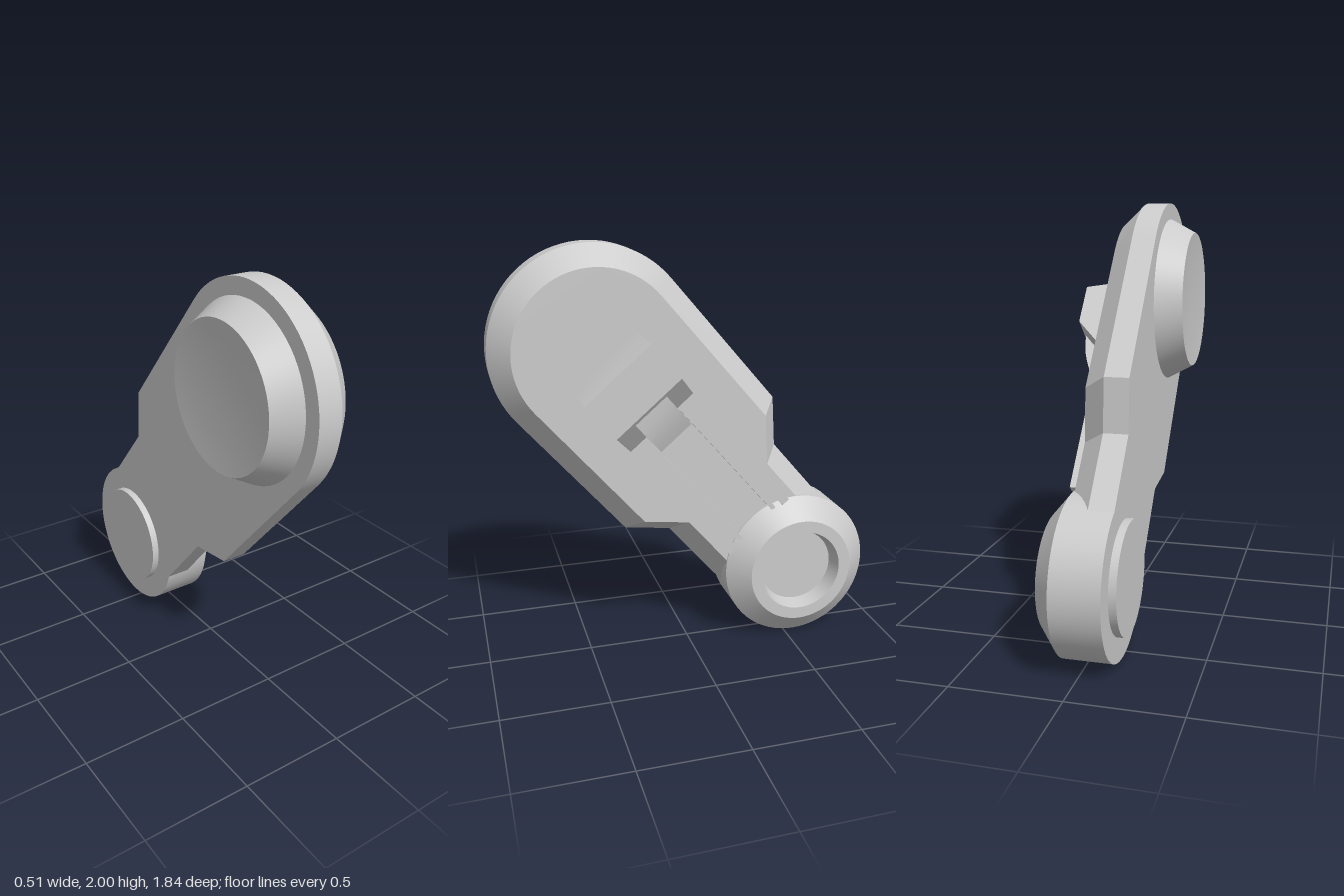
import * as THREE from 'three';
import { toCreasedNormals } from 'three/addons/utils/BufferGeometryUtils.js';

const material = new THREE.MeshStandardMaterial({ color: 0xcccccc });
// The arm is built upright: x is thickness, y runs along the arm, z across it.
const ARM = 1.51;

function addPart(parent, name, geometry) {
  const flat = geometry.index ? geometry.toNonIndexed() : geometry;
  const mesh = new THREE.Mesh(toCreasedNormals(flat, 0.4), material);
  mesh.name = name;
  parent.add(mesh);
  return mesh;
}

// Round part about the x axis, profile points are [radius, x]
function turned(profile) {
  const points = profile.map(([r, x]) => new THREE.Vector2(r, x));
  return new THREE.LatheGeometry(points, 64).rotateZ(-Math.PI / 2);
}

function extrude(points, depth) {
  const shape = new THREE.Shape(points.map(([a, b]) => new THREE.Vector2(a, b)));
  return new THREE.ExtrudeGeometry(shape, { depth, bevelEnabled: false });
}

// Side profile in (x, y), centred across z
const acrossArm = (points, width) => extrude(points, width).translate(0, 0, -width / 2);

// Face outline in (y, z), thickened along x
function alongThickness(points, x, depth) {
  const basis = new THREE.Matrix4().makeBasis(
    new THREE.Vector3(0, 1, 0), new THREE.Vector3(0, 0, 1), new THREE.Vector3(1, 0, 0));
  return extrude(points, depth).applyMatrix4(basis).translate(x, 0, 0);
}

// Outline of the plate: narrow neck, shoulders, round head
function plateOutline(inset) {
  const neck = 0.334 - inset, wide = 0.483 - inset;
  const points = [[0, -neck], [0.526, -neck], [0.722, -wide]];
  for (let i = 0; i <= 40; i++) {
    const a = -Math.PI / 2 + (Math.PI * i) / 40;
    points.push([ARM + wide * Math.cos(a), wide * Math.sin(a)]);
  }
  points.push([0.752, wide], [0.586, neck], [0, neck]);
  return points;
}

// Plate lofted through three outlines, the last one inset for the bevel
function plateGeometry() {
  const rings = [[-0.135, 0], [-0.02, 0], [0.085, 0.097]].map(([x, inset]) =>
    plateOutline(inset).map(([y, z]) => [x, y, z]));
  const n = rings[0].length;
  const position = [];
  const tri = (a, b, c) => position.push(...a, ...b, ...c);
  for (let k = 0; k < 2; k++) {
    for (let i = 0; i < n; i++) {
      const j = (i + 1) % n;
      tri(rings[k][i], rings[k][j], rings[k + 1][j]);
      tri(rings[k][i], rings[k + 1][j], rings[k + 1][i]);
    }
  }
  const contour = rings[0].map(([, y, z]) => new THREE.Vector2(y, z));
  for (const [a, b, c] of THREE.ShapeUtils.triangulateShape(contour, [])) {
    tri(rings[0][a], rings[0][c], rings[0][b]);
    tri(rings[2][a], rings[2][b], rings[2][c]);
  }
  const geometry = new THREE.BufferGeometry();
  geometry.setAttribute('position', new THREE.Float32BufferAttribute(position, 3));
  return geometry;
}

export function createModel() {
  const model = new THREE.Group();
  model.name = 'linkArm';
  const arm = new THREE.Group();
  arm.name = 'arm';
  arm.position.set(0, 0.372, -0.55);
  arm.rotation.x = 0.7105;
  model.add(arm);

  addPart(arm, 'armPlate', plateGeometry());

  // Lower joint with a tapered recess on one side and a low boss on the other
  addPart(arm, 'lowerJoint', turned([
    [0, -0.17], [0.257, -0.17], [0.257, -0.135], [0.37, -0.135], [0.37, 0.09],
    [0.265, 0.178], [0.206, 0.178], [0.186, 0.1], [0, 0.1],
  ]));

  // Upper boss with a slightly dished face
  const boss = addPart(arm, 'upperBoss', turned([
    [0, -0.245], [0.1, -0.247], [0.2, -0.25], [0.28, -0.255], [0.337, -0.26],
    [0.405, -0.135], [0.405, -0.1], [0, -0.1],
  ]));
  boss.position.y = ARM;

  // Raised block with a sloped lower end
  addPart(arm, 'block', acrossArm(
    [[0.06, 1.08], [0.125, 1.08], [0.255, 1.218], [0.255, 1.43], [0.085, 1.462], [0.06, 1.462]], 0.395));

  // Small tongue projecting from the slope
  addPart(arm, 'tongue', acrossArm(
    [[0.08, 1.0], [0.185, 1.0], [0.207, 1.05], [0.224, 1.1], [0.235, 1.15], [0.24, 1.2], [0.08, 1.2]], 0.19));

  // Pair of rails running down to the joint, each ending in a fork
  for (const side of [-1, 1]) {
    const outline = [
      [1.15, 0.1], [1.15, 0.198], [0.32, 0.198], [0.32, 0.155], [0.48, 0.148],
      [0.48, 0.128], [0.34, 0.122], [0.34, 0.1],
    ].map(([y, z]) => [y, z * side]);
    addPart(arm, side > 0 ? 'frontRail' : 'rearRail', alongThickness(outline, 0.06, 0.065));
  }
  return model;
}
